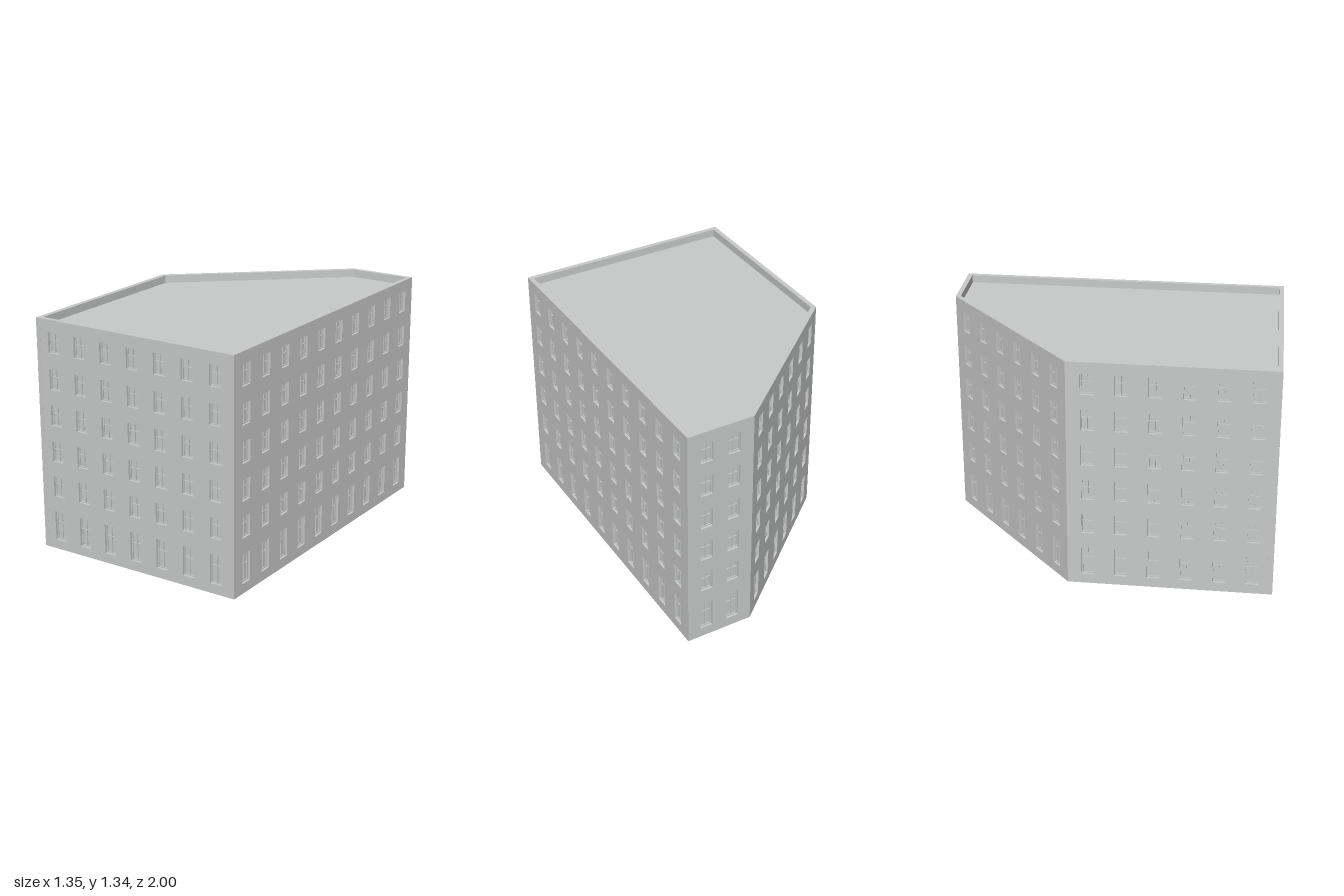
import * as THREE from 'three';

// Footprint corners [x, z], counter-clockwise seen from above
const PLAN = [[-0.6, 1], [0.672, 0.89], [0.538, -1], [0.147, -0.968], [-0.674, -0.14]];
const COLUMNS = [7, 10, 2, 6, 6];
const HEIGHT = 1.343, ROOF = 1.298, WALL = 0.028, RECESS = 0.02;
const WIN_W = 0.072, MARGIN = 0.115;

// Window rows: [bottom, height]
const ROWS = [[0.056, 0.17]];
for (let i = 0; i < 5; i++) ROWS.push([0.318 + i * 0.2093, 0.119]);

function rect(Type, x, y, w, h) {
  const r = new Type();
  r.moveTo(x, y);
  r.lineTo(x + w, y);
  r.lineTo(x + w, y + h);
  r.lineTo(x, y + h);
  r.closePath();
  return r;
}

const extrude = (shape, depth) =>
  new THREE.ExtrudeGeometry(shape, { depth, bevelEnabled: false });

// Footprint moved inwards by k
function insetPlan(k) {
  const n = PLAN.length;
  const inward = (a, b) => {
    const dx = b[0] - a[0], dz = b[1] - a[1], l = Math.hypot(dx, dz);
    return [dz / l, -dx / l];
  };
  return PLAN.map((p, i) => {
    const n1 = inward(PLAN[(i + n - 1) % n], p);
    const n2 = inward(p, PLAN[(i + 1) % n]);
    const s = k / (1 + n1[0] * n2[0] + n1[1] * n2[1]);
    return new THREE.Vector2(p[0] + (n1[0] + n2[0]) * s, -(p[1] + (n1[1] + n2[1]) * s));
  });
}

// Window frame with a mullion and a transom
function frameGeometry(h) {
  const bar = 0.006, thin = 0.005;
  const shape = rect(THREE.Shape, -WIN_W / 2, 0, WIN_W, h);
  const paneW = (WIN_W - 2 * bar - thin) / 2;
  const lower = (h - 2 * bar - thin) * 0.62;
  const upper = h - 2 * bar - thin - lower;
  for (const x of [-thin / 2 - paneW, thin / 2]) {
    shape.holes.push(rect(THREE.Path, x, bar, paneW, lower));
    shape.holes.push(rect(THREE.Path, x, bar + lower + thin, paneW, upper));
  }
  return extrude(shape, 0.006);
}

export function createModel() {
  const building = new THREE.Group();
  building.name = 'apartmentBuilding';
  const plaster = new THREE.MeshStandardMaterial({ color: 0xc8cac9 });
  plaster.name = 'light grey plaster';

  // Inner block: flat roof, floor and the panes behind the openings
  const core = new THREE.Mesh(extrude(new THREE.Shape(insetPlan(RECESS)), ROOF), plaster);
  core.geometry.rotateX(-Math.PI / 2);
  core.name = 'roofAndPanes';
  building.add(core);

  const tallFrame = frameGeometry(ROWS[0][1]);
  const shortFrame = frameGeometry(ROWS[1][1]);

  // Outer walls rise above the roof as a parapet
  PLAN.forEach((a, i) => {
    const b = PLAN[(i + 1) % PLAN.length];
    const dx = b[0] - a[0], dz = b[1] - a[1], length = Math.hypot(dx, dz);
    const facade = new THREE.Group();
    facade.name = 'facade' + (i + 1);
    facade.position.set(a[0], 0, a[1]);
    facade.rotation.y = -Math.atan2(dz, dx);

    const shape = rect(THREE.Shape, 0, 0, length, HEIGHT);
    const step = (length - 2 * MARGIN) / (COLUMNS[i] - 1);
    for (let c = 0; c < COLUMNS[i]; c++) {
      const x = MARGIN + c * step;
      ROWS.forEach(([y, h], row) => {
        shape.holes.push(rect(THREE.Path, x - WIN_W / 2, y, WIN_W, h));
        const frame = new THREE.Mesh(row ? shortFrame : tallFrame, plaster);
        frame.name = 'windowFrame';
        frame.position.set(x, y, -RECESS);
        facade.add(frame);
      });
    }
    const wall = new THREE.Mesh(extrude(shape, WALL), plaster);
    wall.geometry.translate(0, 0, -WALL);
    wall.name = 'wall';
    facade.add(wall);
    building.add(facade);
  });
  return building;
}
